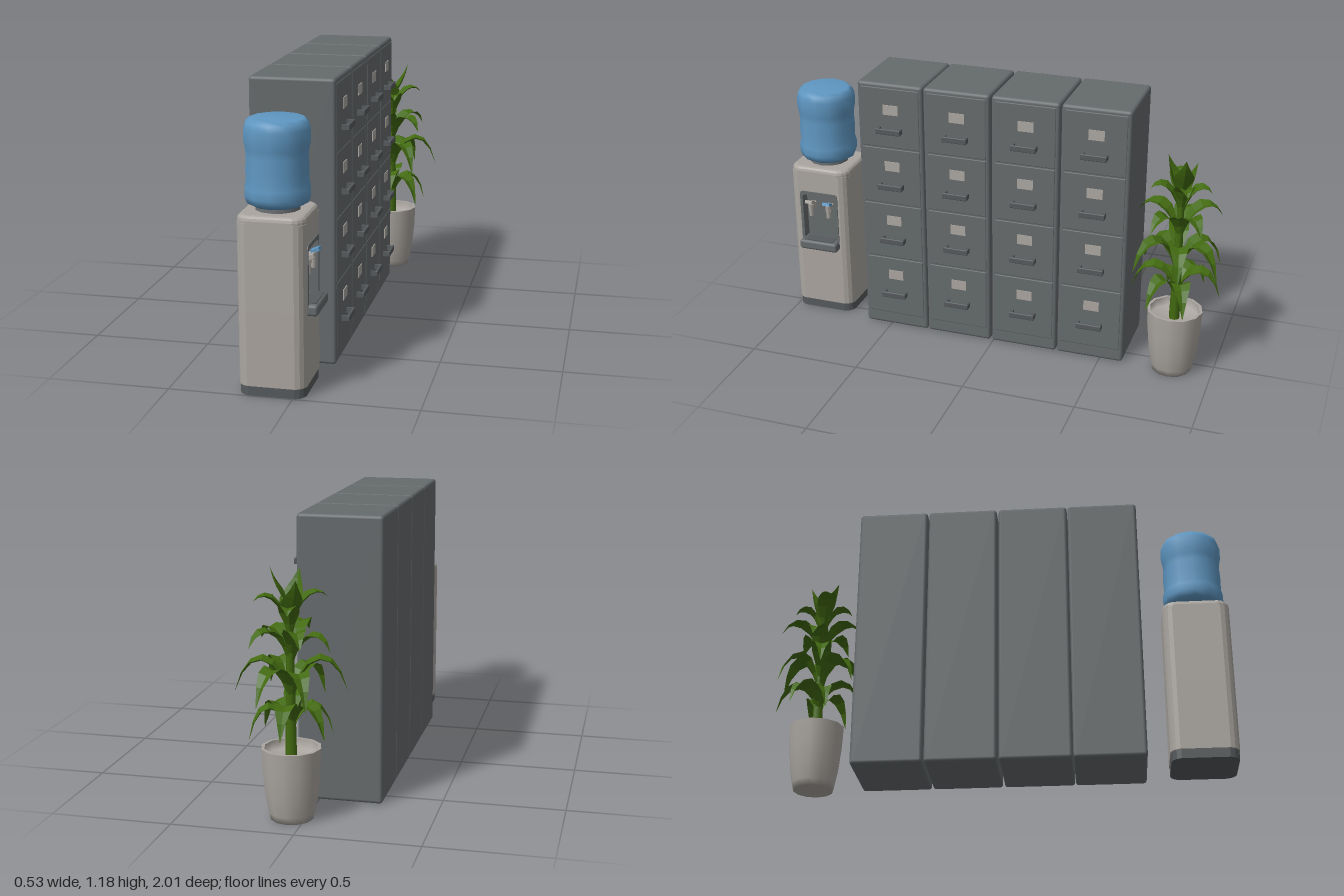
import * as THREE from 'three';
import { RoundedBoxGeometry } from 'three/addons/geometries/RoundedBoxGeometry.js';

const mat = (name, color, side = THREE.FrontSide) => {
  const m = new THREE.MeshStandardMaterial({ color, side });
  m.name = name;
  return m;
};

export function createModel() {
  const model = new THREE.Group();
  const steel = mat('steel grey', 0x656a6c);
  const handleGrey = mat('handle grey', 0x565a5c);
  const plastic = mat('warm light grey', 0xaaa59f);
  const blue = mat('water blue', 0x5f97c2);
  const green = mat('leaf green', 0x426a10, THREE.DoubleSide);

  const add = (parent, name, geometry, material, x = 0, y = 0, z = 0) => {
    const m = new THREE.Mesh(geometry, material);
    m.name = name;
    m.position.set(x, y, z);
    parent.add(m);
    return m;
  };
  const group = (name, x = 0, y = 0, z = 0) => {
    const g = new THREE.Group();
    g.name = name;
    g.position.set(x, y, z);
    model.add(g);
    return g;
  };
  const lathe = (pts, sides) =>
    new THREE.LatheGeometry(pts.map(([r, y]) => new THREE.Vector2(r, y)), sides);

  // Row of four filing cabinets, drawers facing +x
  const drawerTops = [1.165, 0.885, 0.615, 0.345];
  const drawerBottoms = [0.89, 0.62, 0.35, 0.06];
  [0.47, 0.165, -0.145, -0.453].forEach((z) => {
    const cab = group('filingCabinet', 0, 0, z);
    add(cab, 'cabinetBody', new RoundedBoxGeometry(0.353, 1.185, 0.302, 2, 0.014), steel, -0.0885, 0.5925);
    for (let i = 0; i < 4; i++) {
      const top = drawerTops[i], bottom = drawerBottoms[i];
      add(cab, 'drawerFront', new RoundedBoxGeometry(0.016, top - bottom, 0.27, 1, 0.004),
        steel, 0.083, (top + bottom) / 2);
      const hy = [0.975, 0.71, 0.445, 0.17][i];
      add(cab, 'labelCard', new THREE.BoxGeometry(0.006, 0.045, 0.07), plastic, 0.0915, hy + 0.092, -0.004);
      // Bow handle
      add(cab, 'handleBar', new RoundedBoxGeometry(0.012, 0.026, 0.115, 1, 0.004), handleGrey, 0.119, hy);
      for (const s of [-1, 1])
        add(cab, 'handlePost', new THREE.BoxGeometry(0.034, 0.022, 0.013), handleGrey, 0.103, hy, s * 0.05);
    }
  });

  // Water cooler: stacked footprints, the middle one notched for the tap niche
  const cooler = group('waterCooler', -0.085, 0, 0.857);
  const footprint = (w, d, c, notch) => {
    const s = new THREE.Shape(), x = w / 2, z = d / 2;
    s.moveTo(-x + c, -z);
    s.lineTo(x - c, -z);
    s.quadraticCurveTo(x - c * 0.2, -z + c * 0.2, x, -z + c);
    if (notch) [[x, -0.085], [x - 0.05, -0.085], [x - 0.05, 0.085], [x, 0.085]].forEach((p) => s.lineTo(...p));
    s.lineTo(x, z - c);
    s.quadraticCurveTo(x - c * 0.2, z - c * 0.2, x - c, z);
    s.lineTo(-x + c, z);
    s.quadraticCurveTo(-x + c * 0.2, z - c * 0.2, -x, z - c);
    s.lineTo(-x, -z + c);
    s.quadraticCurveTo(-x + c * 0.2, -z + c * 0.2, -x + c, -z);
    return s;
  };
  const slab = (name, y0, y1, material, notch = false, inset = 0) => {
    const g = new THREE.ExtrudeGeometry(footprint(0.27 - inset, 0.284 - inset, 0.04, notch),
      { depth: y1 - y0, bevelEnabled: false, curveSegments: 3 });
    add(cooler, name, g.rotateX(-Math.PI / 2), material, 0, y0);
  };
  slab('coolerBase', 0, 0.042, handleGrey, false, 0.006);
  slab('coolerLowerBody', 0.04, 0.345, plastic);
  slab('coolerMiddleBody', 0.345, 0.59, plastic, true);
  slab('coolerUpperBody', 0.59, 0.69, plastic);
  const cap = new THREE.ExtrudeGeometry(footprint(0.23, 0.244, 0.03), {
    depth: 0.02, bevelThickness: 0.02, bevelSize: 0.02, bevelSegments: 3, curveSegments: 3 });
  add(cooler, 'coolerTop', cap.rotateX(-Math.PI / 2), plastic, 0, 0.68);

  // Tap niche with surround, back panel and drip tray
  const rounded = (s, x0, y0, x1, y1, r) => {
    s.moveTo(x0, y0);
    s.lineTo(x1, y0);
    s.lineTo(x1, y1 - r);
    s.quadraticCurveTo(x1, y1, x1 - r, y1);
    s.lineTo(x0 + r, y1);
    s.quadraticCurveTo(x0, y1, x0, y1 - r);
    s.lineTo(x0, y0);
    return s;
  };
  const surround = rounded(new THREE.Shape(), -0.093, 0.34, 0.093, 0.602, 0.02);
  surround.holes.push(rounded(new THREE.Path(), -0.08, 0.35, 0.08, 0.585, 0.015));
  add(cooler, 'nicheSurround', new THREE.ExtrudeGeometry(surround, { depth: 0.05, bevelEnabled: false })
    .rotateY(Math.PI / 2), steel, 0.089);
  add(cooler, 'nicheBack', new THREE.BoxGeometry(0.008, 0.245, 0.17), steel, 0.09, 0.468);
  add(cooler, 'dripTray', new RoundedBoxGeometry(0.085, 0.045, 0.186, 2, 0.012), steel, 0.133, 0.345);
  add(cooler, 'dripGrille', new THREE.BoxGeometry(0.055, 0.006, 0.14), handleGrey, 0.137, 0.368);
  [[0.045, plastic], [-0.042, blue]].forEach(([z, lever]) => {
    add(cooler, 'tapBody', new THREE.BoxGeometry(0.04, 0.028, 0.026), plastic, 0.11, 0.525, z);
    add(cooler, 'tapSpout', new THREE.CylinderGeometry(0.013, 0.01, 0.06, 8), plastic, 0.128, 0.508, z);
    add(cooler, 'tapLever', new THREE.BoxGeometry(0.036, 0.014, 0.034), lever, 0.138, 0.55, z).rotation.z = 0.4;
  });

  // Neck and ribbed bottle
  add(cooler, 'bottleNeck', new THREE.CylinderGeometry(0.085, 0.09, 0.035, 12), steel, 0, 0.733);
  add(cooler, 'waterBottle', lathe([[0, 0.737], [0.1, 0.737], [0.122, 0.75], [0.131, 0.775], [0.13, 0.81],
    [0.124, 0.83], [0.126, 0.88], [0.123, 0.93], [0.125, 0.96], [0.131, 0.985], [0.131, 1.035],
    [0.122, 1.06], [0.105, 1.074], [0, 1.076]], 12), blue);

  // Potted plant
  const plant = group('pottedPlant', 0.055, 0, -0.82);
  add(plant, 'pot', lathe([[0, 0], [0.086, 0], [0.094, 0.03], [0.107, 0.1], [0.117, 0.2], [0.121, 0.295],
    [0.121, 0.295], [0.108, 0.295], [0.108, 0.295], [0.105, 0.255], [0, 0.25]], 12), plastic);
  add(plant, 'stem', new THREE.CylinderGeometry(0.012, 0.024, 0.64, 7), green, 0, 0.56);

  // Leaf: folded blade swept along an arching curve
  const leafGeometry = (reach, y0, peak, tip, width) => {
    const curve = new THREE.CubicBezierCurve(new THREE.Vector2(0.005, y0), new THREE.Vector2(reach * 0.3, peak),
      new THREE.Vector2(reach * 0.75, peak + 0.02), new THREE.Vector2(reach, tip));
    const widths = [0.15, 0.5, 0.95, 1, 0.75, 0.4, 0.02];
    const pos = [], index = [];
    widths.forEach((w, i) => {
      const p = curve.getPoint(i / 6), t = curve.getTangent(i / 6), h = w * width, lift = h * 0.35;
      for (const s of [-1, 0, 1]) {
        const k = Math.abs(s) * lift;
        pos.push(p.x - t.y * k, p.y + t.x * k, s * h);
      }
      if (i) for (const a of [i * 3 - 3, i * 3 - 2])
        index.push(a, a + 1, a + 3, a + 1, a + 4, a + 3);
    });
    const g = new THREE.BufferGeometry();
    g.setAttribute('position', new THREE.Float32BufferAttribute(pos, 3));
    g.setIndex(index);
    const flat = g.toNonIndexed();
    flat.computeVertexNormals();
    return flat;
  };
  // Tiers: count, reach, base, peak, tip, half width, turn
  [[6, 0.18, 0.37, 0.5, 0.355, 0.042, 0.5], [6, 0.205, 0.49, 0.66, 0.5, 0.044, 0.1],
    [5, 0.175, 0.64, 0.78, 0.71, 0.044, 0.7], [4, 0.135, 0.75, 0.89, 0.87, 0.042, 0.3],
    [3, 0.07, 0.82, 0.88, 0.99, 0.045, 0.2]].forEach(([n, reach, y0, peak, tip, width, turn]) => {
    for (let i = 0; i < n; i++) {
      const v = Math.sin(i * 2.4 + turn * 9);
      const leaf = add(plant, 'leaf', leafGeometry(reach * (1 + 0.08 * v), y0 + 0.02 * v,
        peak + 0.02 * v, tip + 0.025 * v, width), green);
      leaf.rotation.y = turn + (i / n) * Math.PI * 2 + 0.12 * v;
    }
  });
  return model;
}
